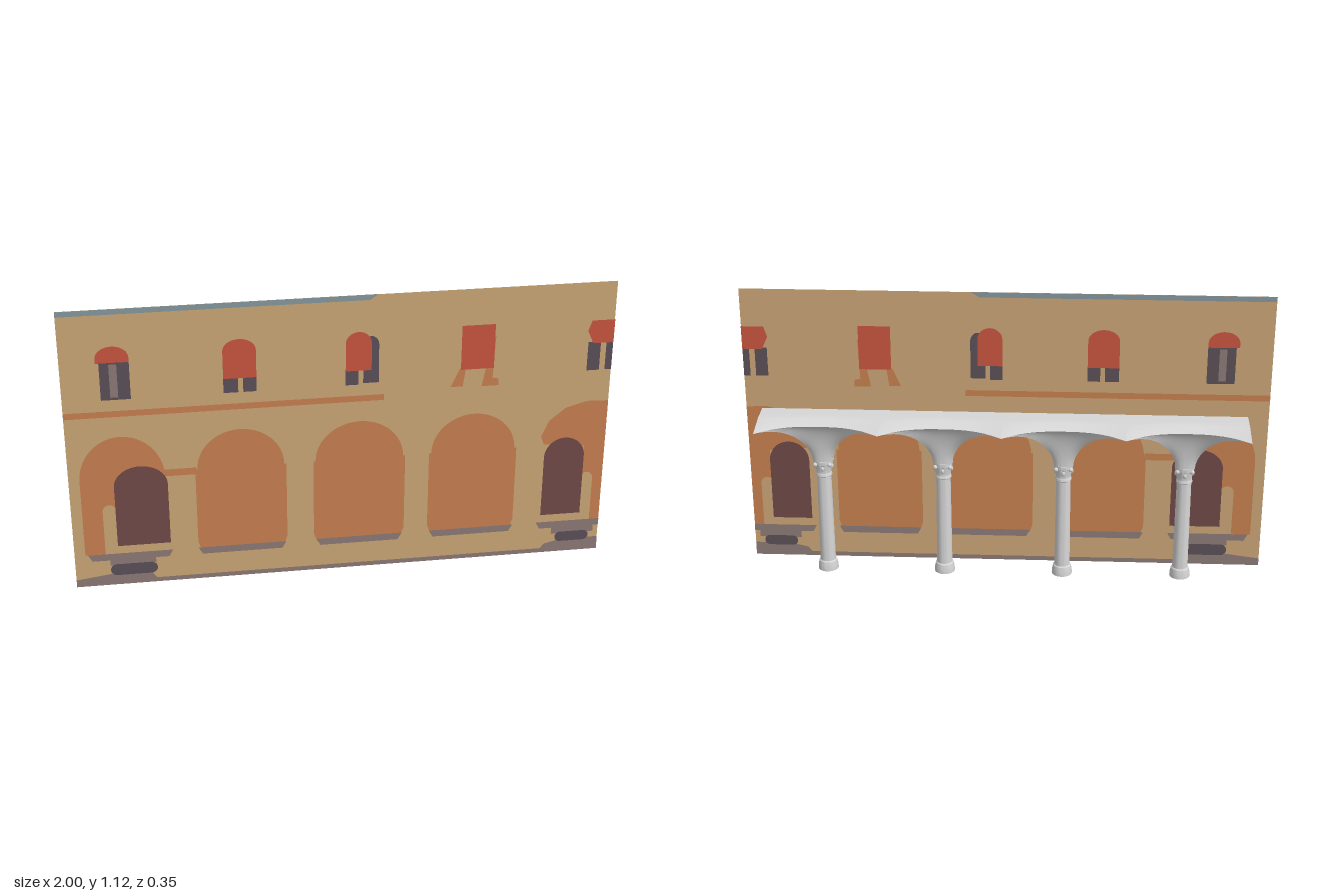
import * as THREE from 'three';
import { toCreasedNormals } from 'three/addons/utils/BufferGeometryUtils.js';

const WALL_Z = 0.172, WALL_H = 1.125;
const COLUMN_Z = -0.011, BAY = 0.4535;

function material(name, color) {
  const m = new THREE.MeshStandardMaterial({ color, side: THREE.DoubleSide });
  m.name = name;
  return m;
}

// Rectangle whose top is rounded above the spring height
function arch(x0, x1, y0, y1, spring = y1) {
  const s = new THREE.Shape();
  s.moveTo(x0, y0);
  s.lineTo(x1, y0);
  s.lineTo(x1, spring);
  if (spring < y1) s.absellipse((x0 + x1) / 2, spring, (x1 - x0) / 2, y1 - spring, 0, Math.PI, false);
  else s.lineTo(x0, y1);
  s.closePath();
  return s;
}

function poly(...pts) {
  return new THREE.Shape(pts.map(([x, y]) => new THREE.Vector2(x, y)));
}

function oval(x0, x1, y0, y1) {
  const r = (y1 - y0) / 2, s = new THREE.Shape();
  s.absarc(x1 - r, y0 + r, r, -Math.PI / 2, Math.PI / 2, false);
  s.absarc(x0 + r, y0 + r, r, Math.PI / 2, Math.PI * 1.5, false);
  return s;
}

// Flared vault springing from a column: closed sections that widen with height
function vaultGeometry() {
  const front = 0.025 , rows = 14, pos = [], idx = [];
  const lerp = THREE.MathUtils.lerp;
  const ring = (f, y, backLimit) => {
    const h = lerp(0.036, BAY / 2, f), corner = lerp(-0.03, -0.174, f), mid = lerp(-0.044, -0.1, f);
    const pts = [];
    for (let i = 0; i < 6; i++) pts.push([lerp(-h, h, i / 6), front]);
    for (let i = 0; i < 4; i++) pts.push([h, lerp(front, corner, i / 4)]);
    for (let i = 0; i < 14; i++) {
      const u = 1 - i / 7;
      pts.push([u * h, lerp(mid, corner, Math.abs(u) ** 2.6)]);
    }
    for (let i = 0; i < 4; i++) pts.push([-h, lerp(corner, front, i / 4)]);
    pts.forEach(([x, z]) => pos.push(x, y, Math.max(z, backLimit)));
    return pts.length;
  };
  let n = 0;
  for (let i = 0; i <= rows; i++) {
    const t = Math.sin((i / rows) * Math.PI / 2);
    n = ring(1 - Math.sqrt(Math.max(0, 1 - t ** 1.7)), lerp(0.515, 0.688, t), -1);
  }
  ring(1, 0.705, -0.067);
  for (let i = 0; i <= rows; i++) {
    for (let j = 0; j < n; j++) {
      const a = i * n + j, b = i * n + (j + 1) % n;
      idx.push(a, b, b + n, a, b + n, a + n);
    }
  }
  // flat top
  const last = (rows + 1) * n, centre = pos.length / 3;
  pos.push(0, 0.705, -0.02);
  for (let j = 0; j < n; j++) idx.push(last + j, last + (j + 1) % n, centre);
  const g = new THREE.BufferGeometry();
  g.setAttribute('position', new THREE.Float32BufferAttribute(pos, 3));
  g.setIndex(idx);
  return toCreasedNormals(g, 0.7);
}

export function createModel() {
  const model = new THREE.Group();
  model.name = 'arcade';
  const tan = material('tan plaster', 0xcba777);
  const orange = material('orange plaster', 0xc98150);
  const red = material('red shutter', 0xca5540);
  const dark = material('dark window', 0x5b5158);
  const brown = material('brown door', 0x704b48);
  const grey = material('grey footing', 0x8d7b77);
  const blue = material('blue sky strip', 0x87999f);
  const stone = material('pale stone', 0xd6d6d6);

  const add = (parent, name, geo, mat, x = 0, y = 0, z = 0) => {
    const m = new THREE.Mesh(geo, mat);
    m.name = name;
    m.position.set(x, y, z);
    parent.add(m);
    return m;
  };

  // Facade sheet, painted the same on both faces
  const facade = new THREE.Group();
  facade.name = 'facade';
  model.add(facade);
  add(facade, 'wall', new THREE.PlaneGeometry(2, WALL_H), tan, 0, WALL_H / 2, WALL_Z);
  const paint = (name, mat, layer, shapes) => {
    const g = new THREE.ShapeGeometry(shapes, 12);
    for (const s of [1, -1]) add(facade, name, g, mat, 0, 0, WALL_Z + s * layer * 0.0012);
  };

  paint('skyStrip', blue, 1, [poly([-1, 1.105], [0.1, 1.105], [0.13, WALL_H], [-1, WALL_H])]);
  paint('cornice', orange, 1, [arch(-1, 0.155, 0.706, 0.73)]);
  paint('archPanel', orange, 1, [
    arch(-0.96, -0.65, 0.135, 0.625, 0.45),
    arch(-0.655, -0.535, 0.45, 0.478),
    ...[[-0.54, -0.205], [-0.105, 0.238], [0.328, 0.66]].flatMap(([a, b]) => [
      arch(a, b, 0.16, 0.47),
      arch(a + 0.008, b - 0.008, 0.47, 0.625, 0.47),
      poly([a, 0.16], [a + 0.012, 0.125], [b - 0.012, 0.125], [b, 0.16]),
    ]),
    poly([1, 0.13], [1, 0.645], [0.92, 0.648], [0.84, 0.625], [0.78, 0.575], [0.752, 0.51],
      [0.765, 0.475], [0.92, 0.46], [0.92, 0.13]),
  ]);
  paint('plasterPatch', tan, 2, [
    arch(-0.885, -0.835, 0.13, 0.345, 0.32),
    arch(-0.84, -0.645, 0.13, 0.17),
    arch(0.91, 0.962, 0.13, 0.345, 0.32),
  ]);
  paint('door', brown, 3, [arch(-0.838, -0.642, 0.168, 0.5, 0.42), arch(0.768, 0.922, 0.168, 0.5, 0.42)]);

  // Sills and footing
  paint('sill', grey, 3, [[-0.95, -0.635], [-0.54, -0.21], [-0.095, 0.23], [0.335, 0.66], [0.752, 1]]
    .map(([a, b]) => poly([a, 0.136], [a + 0.015, 0.108], [b - (b < 1 ? 0.015 : 0), 0.108], [b, 0.136])));
  paint('footing', grey, 2, [
    arch(-1, 1, 0, 0.018),
    poly([-1, 0.018], [-0.7, 0.018], [-0.72, 0.045], [-0.85, 0.05], [-1, 0.03]),
    arch(-0.87, -0.7, 0.085, 0.112),
    poly([0.775, 0.018], [1, 0.018], [1, 0.055], [0.84, 0.05], [0.79, 0.038]),
    arch(0.815, 0.98, 0.08, 0.112),
  ]);
  paint('vent', dark, 4, [oval(-0.87, -0.695, 0.042, 0.09), oval(0.83, 0.962, 0.046, 0.088)]);

  // Upper windows
  paint('windowOpening', dark, 2, [
    arch(-0.862, -0.756, 0.775, 0.925),
    arch(-0.427, -0.374, 0.775, 0.84), arch(-0.356, -0.308, 0.775, 0.84),
    arch(0.014, 0.06, 0.775, 0.84), arch(0.078, 0.135, 0.78, 0.965, 0.93),
    arch(0.907, 0.954, 0.775, 0.89), arch(0.975, 1, 0.775, 0.89),
  ]);
  paint('windowPost', grey, 3, [arch(-0.828, -0.8, 0.785, 0.915)]);
  paint('shutter', red, 4, [
    arch(-0.874, -0.756, 0.922, 0.985, 0.94),
    arch(-0.427, -0.308, 0.832, 0.985, 0.94),
    arch(0.014, 0.108, 0.832, 0.985, 0.94),
    arch(0.436, 0.558, 0.81, 0.985),
    poly([0.925, 0.885], [1, 0.885], [1, 0.976], [0.915, 0.976], [0.902, 0.935]),
  ]);
  paint('faintSurround', orange, 3, [
    poly([0.4, 0.742], [0.445, 0.742], [0.455, 0.815], [0.432, 0.815]),
    poly([0.515, 0.738], [0.578, 0.738], [0.578, 0.765], [0.555, 0.77], [0.562, 0.94], [0.53, 0.815]),
  ]);

  // Arcade of columns and vaults
  const profile = [[0, 0.05], [0.039, 0.05], [0.038, 0.068], [0.034, 0.086], [0.03, 0.09], [0.0295, 0.1],
    [0.0275, 0.45], [0.031, 0.453], [0.03, 0.46], [0.028, 0.465], [0.03, 0.48], [0.034, 0.5],
    [0.036, 0.502], [0.036, 0.517], [0, 0.517]].map(([r, y]) => new THREE.Vector2(r, y));
  const columnGeo = toCreasedNormals(new THREE.LatheGeometry(profile, 24), 0.5);
  const vaultGeo = vaultGeometry();
  const scrollGeo = new THREE.SphereGeometry(0.0085, 10, 8);
  const leafGeo = new THREE.SphereGeometry(0.007, 8, 6).scale(1, 1.5, 1);
  for (let i = 0; i < 4; i++) {
    const bay = new THREE.Group();
    bay.name = 'bay';
    bay.position.x = 0.002 + (i - 1.5) * BAY;
    model.add(bay);
    add(bay, 'column', columnGeo, stone, 0, 0, COLUMN_Z);
    add(bay, 'vault', vaultGeo, stone);
    for (let k = 0; k < 8; k++) {
      const a = k * Math.PI / 4, corner = k % 2;
      const r = corner ? 0.039 : 0.031;
      add(bay, corner ? 'capitalScroll' : 'capitalLeaf', corner ? scrollGeo : leafGeo, stone,
        Math.sin(a) * r, corner ? 0.503 : 0.487, COLUMN_Z + Math.cos(a) * r);
    }
  }
  return model;
}
